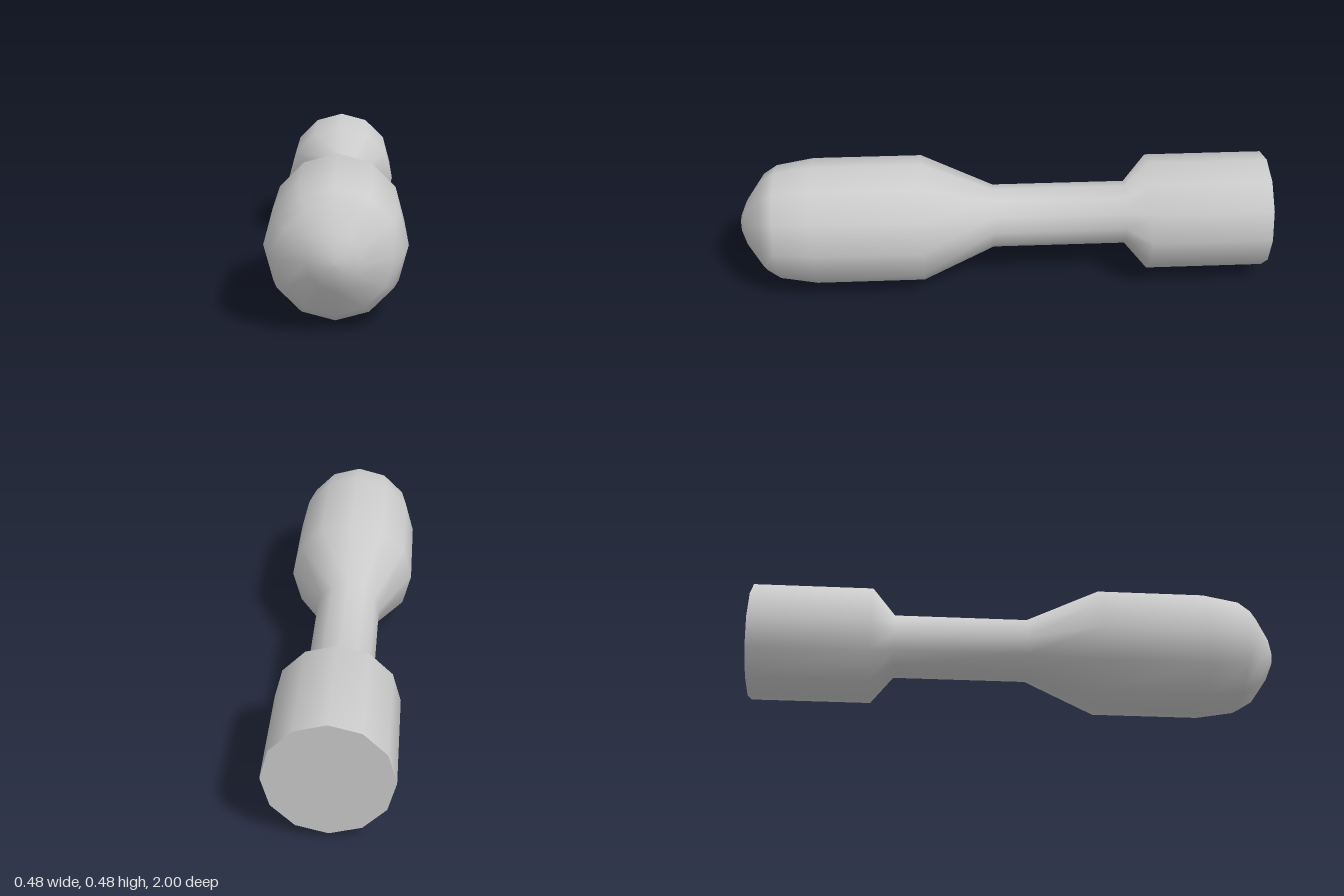
import * as THREE from 'three';

const SIDES = 12;
const AXIS_HEIGHT = 0.24;
const REAR_RADIUS = 0.22;

export function createModel() {
  const group = new THREE.Group();
  const material = new THREE.MeshStandardMaterial({ color: 0xcccccc });

  const add = (name, geometry) => {
    const mesh = new THREE.Mesh(geometry, material);
    mesh.name = name;
    group.add(mesh);
    return mesh;
  };

  // Turned body: [radius, z] from the rear collar, along the shaft, to the rounded nose
  const profile = [
    [REAR_RADIUS, -1], [REAR_RADIUS, -0.55],
    [0.12, -0.465], [0.12, 0.04],
    [0.24, 0.31], [0.24, 0.72],
    [0.217, 0.86], [0.185, 0.91], [0.09, 0.975], [0.035, 0.998], [0, 1],
  ].map(([r, z]) => new THREE.Vector2(r, z));
  add('turnedBody', new THREE.LatheGeometry(profile, SIDES).rotateX(Math.PI / 2));

  // Flat end of the rear collar
  const cap = add('rearCap', new THREE.CircleGeometry(REAR_RADIUS, SIDES).rotateY(Math.PI));
  cap.position.z = -1;

  group.position.y = AXIS_HEIGHT;
  const model = new THREE.Group();
  group.name = 'turnedHandle';
  model.add(group);
  return model;
}
